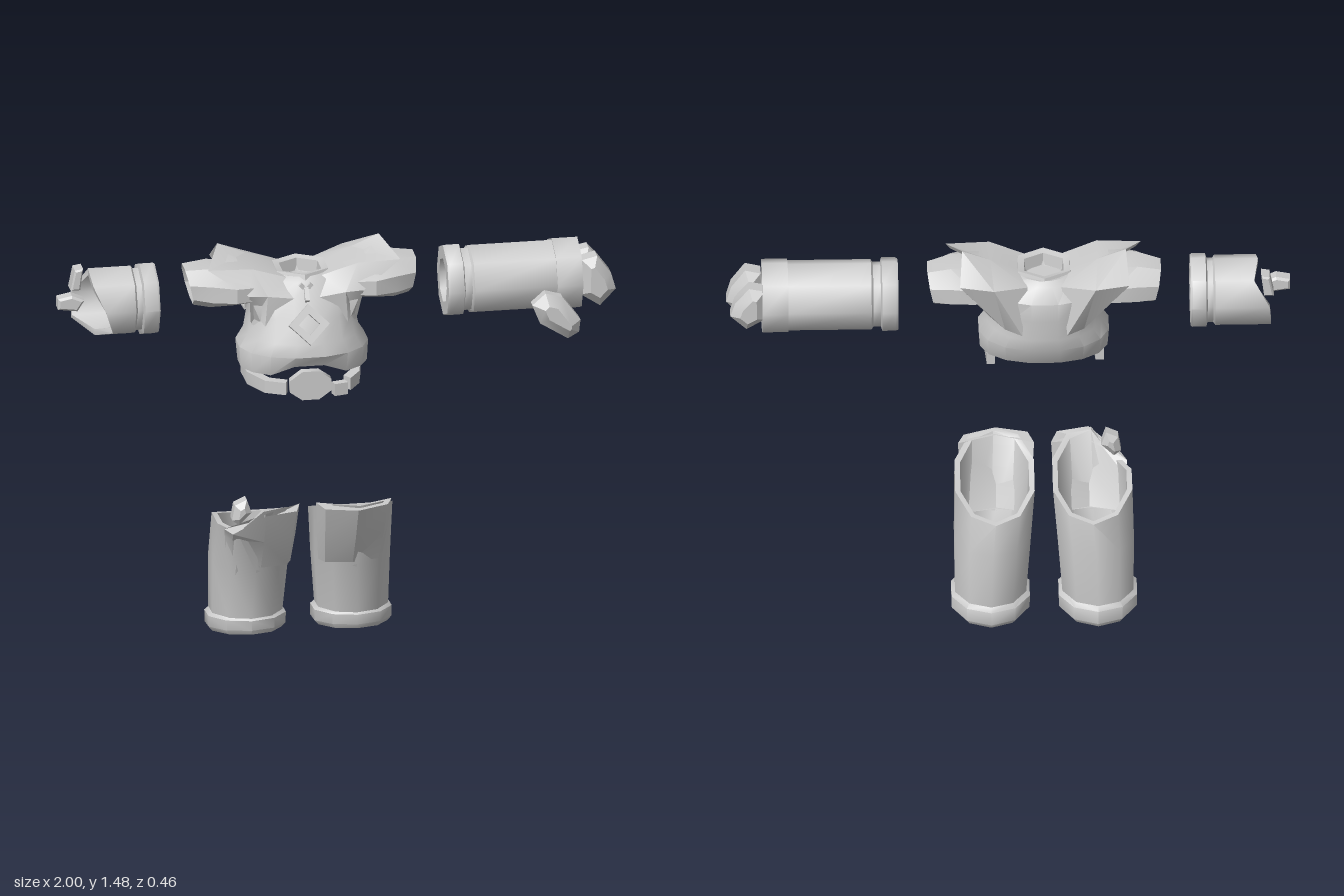
import * as THREE from 'three';
import { toCreasedNormals } from 'three/addons/utils/BufferGeometryUtils.js';

const MID = -0.1275; // middle of the body in x
const V = (x, y, z) => new THREE.Vector3(x, y, z);
const material = new THREE.MeshStandardMaterial({ color: 0xcccccc, side: THREE.DoubleSide });

function part(parent, name, geometry, crease = 0.85) {
  const mesh = new THREE.Mesh(toCreasedNormals(geometry, crease), material);
  mesh.name = name;
  parent.add(mesh);
  return mesh;
}

// Skin over a list of equal-length cross-sections
function loft(rings, { closed = true, start = true } = {}) {
  const n = rings[0].length, pos = [], idx = [];
  rings.forEach(r => r.forEach(p => pos.push(p.x, p.y, p.z)));
  for (let i = 0; i < rings.length - 1; i++) {
    for (let j = 0; j < (closed ? n : n - 1); j++) {
      const k = (j + 1) % n, a = i * n, b = a + n;
      idx.push(a + j, b + j, a + k, b + j, b + k, a + k);
    }
  }
  const cap = (r, flip) => {
    const c = rings[r].reduce((s, p) => s.add(p), V(0, 0, 0)).divideScalar(n), ci = pos.length / 3;
    pos.push(c.x, c.y, c.z);
    for (let j = 0; j < n; j++) {
      const a = r * n + j, b = r * n + (j + 1) % n;
      idx.push(ci, flip ? b : a, flip ? a : b);
    }
  };
  if (closed && start) cap(0, false);
  if (closed) cap(rings.length - 1, true);
  const g = new THREE.BufferGeometry();
  g.setAttribute('position', new THREE.Float32BufferAttribute(pos, 3));
  g.setIndex(idx);
  return g;
}

// Horizontal oval, tilted by slope along z
function oval(n, y, cx, hx, cz, hz, slope = 0, power = 1) {
  const round = v => Math.sign(v) * Math.abs(v) ** power;
  return Array.from({ length: n }, (_, j) => {
    const a = (j + 0.5) / n * Math.PI * 2;
    const z = hz * round(Math.sin(a));
    return V(cx + hx * round(Math.cos(a)), y + slope * z, cz + z);
  });
}

// Upright octagon across the x axis
function slice(x, y, z, hy, hz, lean = 0) {
  return Array.from({ length: 8 }, (_, j) => {
    const a = (j + 0.5) / 8 * Math.PI * 2;
    return V(x + lean * Math.sin(a), y + hy * Math.sin(a), z + hz * Math.cos(a));
  });
}

// Flat outline with bevelled edges, thickened along z
function chunk(points, z0, z1, bevel) {
  const shape = new THREE.Shape(points.map(p => new THREE.Vector2(...p)));
  const g = new THREE.ExtrudeGeometry(shape, {
    depth: z1 - z0 - 2 * bevel, bevelSegments: 1,
    bevelSize: bevel, bevelOffset: -bevel, bevelThickness: bevel });
  return g.translate(0, 0, z0 + bevel);
}

function lathe(points, sides = 8) {
  return new THREE.LatheGeometry(points.map(p => new THREE.Vector2(...p)), sides);
}

function buildTorso(root) {
  const torso = new THREE.Group();
  torso.name = 'torso';
  torso.position.x = MID;
  root.add(torso);

  // Jacket shell: inner lining, hem, chest, collar and neck well
  const rings = [
    oval(16, 1.16, 0, 0.17, -0.01, 0.14), oval(16, 1.065, 0, 0.205, 0.005, 0.145),
    oval(16, 1.06, 0, 0.23, 0.005, 0.162, 0, 0.9), oval(16, 1.135, 0, 0.235, -0.005, 0.195, 0, 0.9),
    oval(16, 1.18, 0, 0.205, -0.012, 0.192, 0, 0.9), oval(16, 1.26, 0, 0.187, -0.032, 0.177, 0, 0.85),
    oval(16, 1.33, 0, 0.19, -0.05, 0.158, 0, 0.85), oval(16, 1.38, 0, 0.14, -0.045, 0.125),
    oval(16, 1.395, 0, 0.105, -0.045, 0.105), oval(16, 1.39, 0, 0.085, -0.04, 0.085),
    oval(16, 1.35, 0, 0.07, -0.04, 0.07),
  ];
  // Hem rises in an arch over the buckle
  rings.slice(0, 3).flat().forEach(p => { if (p.z > 0.1 && Math.abs(p.x) < 0.12) p.y += 0.035; });
  part(torso, 'jacket', loft(rings, { start: false }), 0.7);

  const collar = part(torso, 'collar', lathe([[0.09, 0], [0.113, 0], [0.106, 0.02], [0.08, 0.014], [0.074, -0.03]], 6), 0.4);
  collar.position.set(0, 1.384, -0.04);

  for (const side of [1, -1]) {
    const shoulder = new THREE.Group();
    shoulder.name = side > 0 ? 'leftShoulder' : 'rightShoulder';
    shoulder.scale.x = side;
    torso.add(shoulder);

    // Flared armhole yoke: root, middle, rim, then back along its inside
    const base = [V(0.09, 1.2, 0.14), V(0.04, 1.33, 0.105), V(0.06, 1.39, 0.045), V(0.09, 1.4, -0.07), V(0.06, 1.38, -0.165), V(0.08, 1.2, -0.2)];
    const middle = [V(0.15, 1.21, 0.1), V(0.14, 1.345, 0.108), V(0.19, 1.435, 0.06), V(0.19, 1.445, -0.08), V(0.18, 1.4, -0.225), V(0.14, 1.21, -0.17)];
    const rim = [V(0.19, 1.22, 0.04), V(0.205, 1.345, 0.1), V(0.345, 1.435, 0.05), V(0.29, 1.485, -0.085), V(0.3, 1.4, -0.195), V(0.19, 1.22, -0.1)];
    const centre = V(0.18, 1.3, -0.06);
    const inset = (r, k) => r.map(p => p.clone().lerp(centre, k));
    part(shoulder, 'yoke', loft([base, middle, rim, inset(rim, 0.1), inset(middle, 0.12)], { closed: false }), 0.6);

    // Short padded sleeve, slightly hollow at its end
    part(shoulder, 'sleeve', loft([
      slice(0.12, 1.345, -0.05, 0.06, 0.13), slice(0.25, 1.352, -0.04, 0.07, 0.16),
      slice(0.33, 1.35, -0.05, 0.078, 0.135), slice(0.4, 1.345, -0.065, 0.07, 0.1, 0.015),
      slice(0.39, 1.345, -0.065, 0.052, 0.08, 0.015), slice(0.33, 1.345, -0.06, 0.045, 0.08),
    ]), 0.5);
  }

  // Diamond badge frame on the chest
  const diamond = s => [[s, 0], [0, s], [-s, 0], [0, -s]].map(p => new THREE.Vector2(...p));
  const frame = new THREE.Shape(diamond(0.073));
  frame.holes.push(new THREE.Path(diamond(0.038)));
  const badge = part(torso, 'badge', new THREE.ExtrudeGeometry(frame, { depth: 0.03, bevelEnabled: false }), 0.3);
  badge.position.set(0, 1.24, 0.135);
  badge.rotation.x = -0.4;

  // Fastener under the collar
  const tab = part(torso, 'fastenerTab', new THREE.BoxGeometry(0.016, 0.05, 0.025));
  tab.position.set(0, 1.34, 0.1);
  tab.rotation.x = -0.7;
  for (const s of [1, -1]) {
    const arm = part(torso, 'fastenerArm', new THREE.BoxGeometry(0.014, 0.03, 0.02));
    arm.position.set(s * 0.011, 1.365, 0.08);
    arm.rotation.z = -s * 0.7;
  }
}

function buildBelt(root) {
  const buckle = part(root, 'beltBuckle', new THREE.CylinderGeometry(0.08, 0.08, 0.03, 8).rotateY(Math.PI / 8).rotateX(Math.PI / 2));
  buckle.position.set(MID, 1.03, 0.175);
  buckle.scale.y = 0.72;
  const clip = part(root, 'beltClip', new THREE.BoxGeometry(0.05, 0.045, 0.03));
  clip.position.set(-0.02, 1.008, 0.17);
  clip.rotation.y = 0.25;
  // Curved side straps, as x and z points from front to back
  const strap = (name, path) => part(root, name, loft(path.map(([x, z]) => {
    const y = 1.018 + (0.16 - z) * 0.06, k = 0.86, ix = MID + (x - MID) * k, iz = z * k - 0.008;
    return [V(x, y - 0.023, z), V(ix, y - 0.023, iz), V(ix, y + 0.023, iz), V(x, y + 0.023, z)];
  })), 0.5);
  strap('leftStrap', [[0.02, 0.165], [0.06, 0.11], [0.08, 0.02], [0.075, -0.075]]);
  strap('rightStrap', [[-0.215, 0.175], [-0.285, 0.145], [-0.335, 0.06], [-0.34, -0.05]]);
}

function buildArms(root) {
  // Left arm with wrist cuff, banded upper end and hollow ends
  const left = part(root, 'leftArm', lathe([
    [0, 0.45], [0.082, 0.45], [0.082, 0.39], [0.13, 0.39], [0.134, 0.4], [0.134, 0.447], [0.118, 0.452], [0.118, 0.478],
    [0.128, 0.485], [0.128, 0.78], [0.134, 0.78], [0.134, 0.872], [0.108, 0.872], [0.1, 0.82], [0, 0.82],
  ]).rotateZ(-Math.PI / 2));
  left.position.set(0, 1.3, -0.065);

  // Right arm, broken off in a jagged edge
  const profile = [[0, 0.705], [0.082, 0.705], [0.082, 0.645], [0.13, 0.645], [0.134, 0.652], [0.134, 0.7], [0.118, 0.705],
    [0.118, 0.725], [0.128, 0.732], [0.128, 0.88], [0.105, 0.88], [0.1, 0.76], [0, 0.76]];
  const stump = lathe(profile), p = stump.attributes.position;
  const edge = [0.84, 0.88, 0.885, 0.87, 0.925, 0.93, 0.86, 0.81];
  for (let i = 0; i < p.count; i++) {
    if (p.getY(i) > 0.8) p.setY(i, edge[Math.floor(i / profile.length) % 8]);
  }
  const right = part(root, 'rightArm', stump.rotateZ(Math.PI / 2));
  right.position.set(0, 1.3, -0.065);

  // Curled fingers and thumb
  const finger = [[0.875, 1.375], [0.93, 1.388], [0.98, 1.32], [0.997, 1.26], [0.94, 1.2], [0.872, 1.245]];
  part(root, 'frontFingers', chunk(finger, -0.068, 0.045, 0.03), 0.5);
  part(root, 'backFingers', chunk(finger.map(([x, y]) => [x - 0.012, y * 0.88 + 0.157]), -0.178, -0.068, 0.03), 0.5);
  part(root, 'thumb', chunk([[0.682, 1.25], [0.73, 1.292], [0.79, 1.275], [0.855, 1.185], [0.85, 1.14], [0.81, 1.117], [0.71, 1.18]], 0.035, 0.14, 0.035), 0.5);

  // Broken pieces of the right hand
  part(root, 'handShard', chunk([[-1, 1.295], [-0.93, 1.285], [-0.905, 1.325], [-0.95, 1.345], [-1, 1.335]], -0.065, -0.01, 0.008), 0.3);
  part(root, 'knuckleShard', chunk([[-0.94, 1.33], [-0.905, 1.33], [-0.895, 1.41], [-0.925, 1.405]], -0.165, -0.1, 0.006), 0.3);
}

function buildLeg(root, side) {
  const leg = new THREE.Group();
  leg.name = side > 0 ? 'leftLeg' : 'rightLeg';
  leg.position.x = MID;
  leg.scale.x = side;
  root.add(leg);
  // Top edges are cut level, and the right leg is chipped at its outer front corner
  const trim = ring => ring.map(p => {
    const chipped = side < 0 && p.x > 0.18 && p.z > 0;
    p.y = Math.min(p.y, chipped ? 0.48 : 0.57);
    return p;
  });

  part(leg, 'boot', loft([
    oval(10, 0.025, 0.19, 0.13, -0.085, 0.138, 0.14), oval(10, 0.042, 0.19, 0.145, -0.085, 0.148, 0.14),
    oval(10, 0.085, 0.19, 0.146, -0.083, 0.148, 0.1), oval(10, 0.1, 0.19, 0.13, -0.08, 0.136, 0.08),
  ]), 0.7);
  // Trouser leg, hollow above, flaring forward, its opening sloping down to the back
  part(leg, 'trouserLeg', loft([
    oval(10, 0.09, 0.19, 0.132, -0.08, 0.138, 0.08), oval(10, 0.3, 0.183, 0.142, -0.062, 0.162),
    trim(oval(10, 0.5, 0.173, 0.148, 0.002, 0.208, 0.4)), trim(oval(10, 0.495, 0.173, 0.128, 0.002, 0.188, 0.4)),
    oval(10, 0.24, 0.183, 0.118, -0.06, 0.14),
  ], { start: false }), 0.8);
  // Thin thigh plate wrapped round the front, highest along its middle ridge
  const plateRing = (y, hx, back, front) => [
    [hx, back], [hx * 0.84, back + (front - back) * 0.55], [0, front], [-hx * 0.84, back + (front - back) * 0.7],
    [-hx, back], [0, front - 0.022],
  ].map(([x, z]) => V(0.165 + x, y, z));
  part(leg, 'thighPlate', loft([
    plateRing(0.317, 0.115, 0.05, 0.105), plateRing(0.44, 0.127, 0.09, 0.175), trim(plateRing(0.56, 0.135, 0.125, 0.23)),
  ]), 0.4);
}

export function createModel() {
  const root = new THREE.Group();
  root.name = 'brokenFigure';
  buildTorso(root);
  buildBelt(root);
  buildArms(root);
  buildLeg(root, 1);
  buildLeg(root, -1);
  part(root, 'thighShard', chunk([[-0.405, 0.525], [-0.38, 0.505], [-0.335, 0.55], [-0.352, 0.6], [-0.395, 0.58]], 0.1, 0.18, 0.02), 0.3);
  return root;
}
